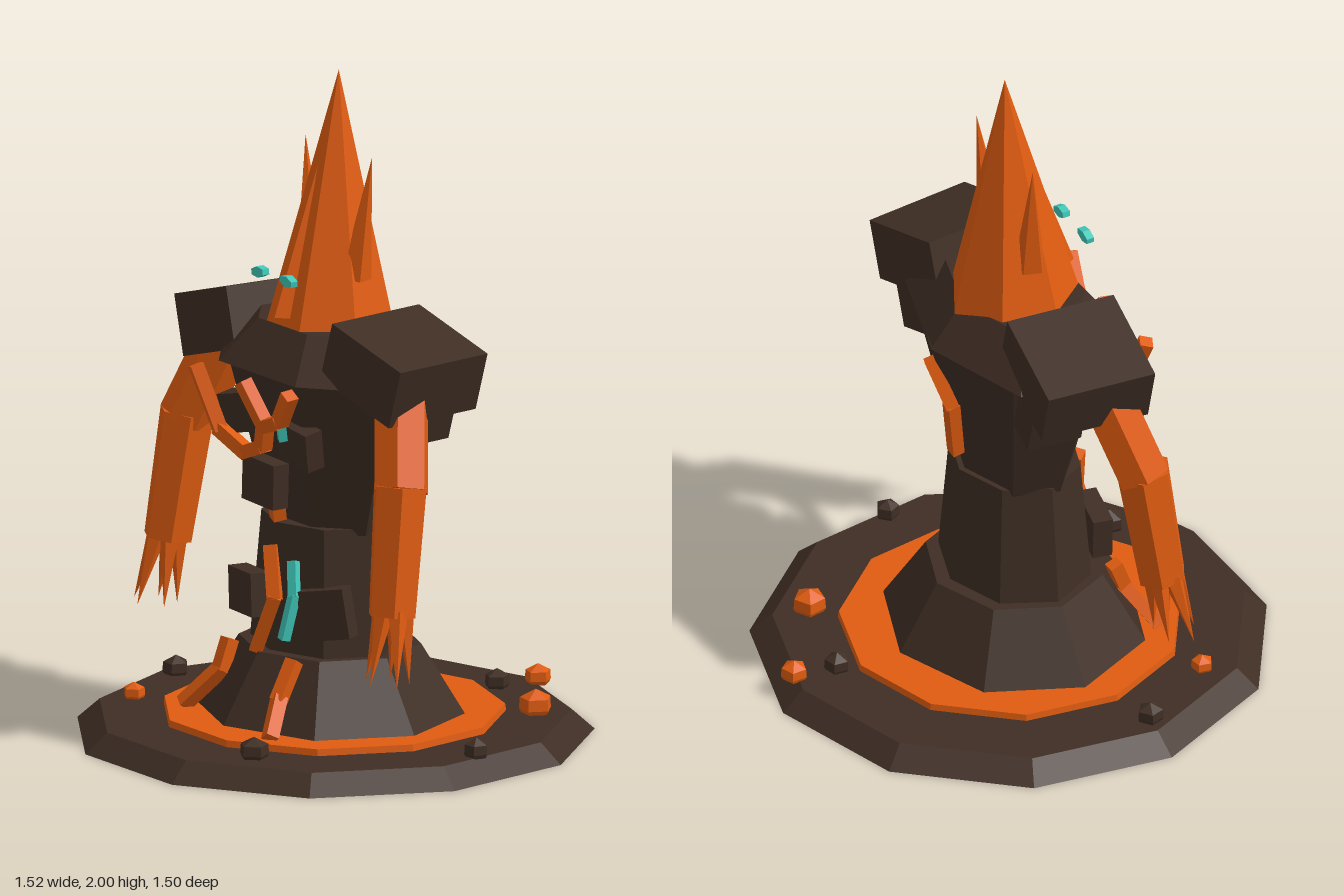
import * as THREE from 'three';

const mat = (name, color) => Object.assign(new THREE.MeshStandardMaterial({ color, flatShading: true }), { name });

export function createModel() {
  const rock = mat('dark rock', 0x3f2e24);
  const lava = mat('orange lava', 0xe05c10);
  const teal = mat('teal crystal', 0x40c9ba);
  const model = new THREE.Group();
  model.name = 'lavaGolem';
  const V = (p) => new THREE.Vector3(...p);

  const add = (name, geo, material, parent = model) => {
    const mesh = new THREE.Mesh(geo, material);
    mesh.name = name;
    parent.add(mesh);
    return mesh;
  };

  // Upright faceted frustum with a vertex at the back, squashed in z
  const frustum = (name, m, sides, y0, r0, y1, r1, sz = 1, z = 0) => {
    const geo = new THREE.CylinderGeometry(r1, r0, y1 - y0, sides);
    geo.rotateY(Math.PI).scale(1, 1, sz).translate(0, (y0 + y1) / 2, z);
    return add(name, geo, m);
  };

  // Tapered limb between two points
  const limb = (name, m, a, b, ra, rb, sides, parent = model) => {
    const A = V(a), d = V(b).sub(A);
    const mesh = add(name, new THREE.CylinderGeometry(rb, ra, d.length(), sides), m, parent);
    mesh.position.copy(A).addScaledVector(d, 0.5);
    mesh.quaternion.setFromUnitVectors(new THREE.Vector3(0, 1, 0), d.normalize());
    return mesh;
  };

  // Bent square bar following a short path
  const crack = (name, m, pts, w = 0.04) => {
    const g = new THREE.Group();
    g.name = name;
    model.add(g);
    for (let i = 0; i + 1 < pts.length; i++) {
      const A = V(pts[i]), d = V(pts[i + 1]).sub(A);
      const seg = add('crackSegment', new THREE.BoxGeometry(w, d.length() + w * 0.3, w), m, g);
      seg.position.copy(A).addScaledVector(d, 0.5);
      seg.quaternion.setFromUnitVectors(new THREE.Vector3(0, 1, 0), d.normalize());
    }
  };

  const block = (name, size, pos, rot, parent = model) => {
    const b = add(name, new THREE.BoxGeometry(...size), rock, parent);
    b.position.set(...pos);
    b.rotation.set(...rot);
    return b;
  };

  // Ground disc and lava pool
  frustum('baseDisc', rock, 11, 0, 0.767, 0.06, 0.7);
  frustum('lavaPool', lava, 11, 0.01, 0.515, 0.08, 0.505);

  // Body
  frustum('skirt', rock, 8, 0.06, 0.435, 0.285, 0.285, 0.91, 0.01);
  frustum('waist', rock, 8, 0.27, 0.26, 0.665, 0.222, 0.84, 0.012);
  frustum('chest', rock, 7, 0.645, 0.225, 1.13, 0.39, 0.7, 0.005);
  frustum('collar', rock, 7, 1.125, 0.44, 1.255, 0.28, 0.65, 0.016);

  // Stone plates on the front
  block('chestPlate', [0.16, 0.12, 0.06], [-0.12, 0.985, 0.23], [0.18, 0, 0.25]);
  block('chestPlate', [0.14, 0.12, 0.06], [0.13, 0.93, 0.21], [0.18, 0, -0.12]);
  block('bellyPlate', [0.155, 0.135, 0.055], [0, 0.797, 0.243], [0, 0, -0.04]);
  block('waistPlate', [0.16, 0.13, 0.06], [-0.14, 0.43, 0.2], [0, -0.2, 0.06]);
  block('waistPlate', [0.15, 0.15, 0.06], [0.18, 0.42, 0.15], [0, 0.5, 0.17]);

  // Head: faceted cone whose tip leans back over its base
  const headGeo = new THREE.ConeGeometry(0.2, 0.78, 7);
  headGeo.rotateY(Math.PI).scale(0.98, 1, 1).translate(0, 1.61, 0.008);
  const hp = headGeo.attributes.position;
  for (let i = 0; i < hp.count; i++) hp.setZ(i, hp.getZ(i) - 0.03 * (hp.getY(i) - 1.22) / 0.78);
  add('head', headGeo, lava);

  // Nose wedge: apex, two rear corners, tip
  const nose = new THREE.BufferGeometry();
  nose.setAttribute('position', new THREE.Float32BufferAttribute([
    0, 1.72, 0.055, -0.032, 1.28, 0.16, 0.032, 1.28, 0.16, 0, 1.285, 0.21], 3));
  nose.setIndex([0, 1, 3, 0, 3, 2, 1, 2, 3, 0, 2, 1]);
  const noseFlat = nose.toNonIndexed();
  noseFlat.computeVertexNormals();
  add('nose', noseFlat, lava);

  for (const s of [-1, 1]) {
    // Eyes
    const eyeGeo = new THREE.CylinderGeometry(0.017, 0.017, 0.03, 6);
    eyeGeo.rotateX(Math.PI / 2).scale(1.9, 1, 0.8);
    const eye = add('eye', eyeGeo, teal);
    eye.position.set(s * 0.071, 1.41, 0.21);
    eye.rotation.z = -s * 0.15;

    // Horns
    limb('horn', lava, [s * 0.112, 1.4, 0.0], [s * 0.166, 1.77, -0.022], 0.048, 0, 5);

    // Shoulder boulders
    block('shoulderRock', [0.315, 0.185, 0.34], [s * 0.372, 1.187, 0.012], [0, s * 0.1, -s * 0.29]);
    block('lowerShoulderRock', [0.2, 0.14, 0.17], [s * 0.3, 1.04, -0.06], [0, s * 0.1, -s * 0.29]);

    // Arms
    const arm = new THREE.Group();
    arm.name = s > 0 ? 'leftArm' : 'rightArm';
    model.add(arm);
    const wrist = [s * 0.56, 0.5, 0.19];
    limb('upperArm', lava, [s * 0.42, 1.16, 0.055], [s * 0.535, 0.86, 0.14], 0.085, 0.085, 6, arm);
    limb('forearm', lava, [s * 0.532, 0.88, 0.14], wrist, 0.085, 0.075, 6, arm);

    // Claws
    for (let i = 0; i < 5; i++) {
      const a = (i / 5) * Math.PI * 2 + 0.3;
      const x = Math.cos(a), z = Math.sin(a);
      limb('claw', lava, [s * (0.565 + x * 0.035), 0.52, 0.19 + z * 0.035],
        [s * (0.58 + x * 0.08), 0.305, 0.225 + z * 0.06], 0.032, 0, 5, arm);
    }
  }

  // Lava and crystal cracks
  crack('chestCrack', lava, [[-0.25, 1.1, 0.31], [-0.19, 0.92, 0.27], [-0.08, 0.87, 0.255],
    [0.02, 0.91, 0.265], [0.05, 0.98, 0.28], [-0.015, 1.1, 0.31]]);
  crack('chestCrackBranch', lava, [[0.05, 0.98, 0.28], [0.18, 1.025, 0.32], [0.24, 1.115, 0.33]]);
  crack('bellyCrack', lava, [[0.005, 0.76, 0.21], [-0.01, 0.68, 0.19]]);
  crack('waistCrack', lava, [[-0.01, 0.59, 0.215], [0.035, 0.45, 0.235], [-0.02, 0.29, 0.26]]);
  crack('skirtCrack', lava, [[-0.17, 0.28, 0.25], [-0.17, 0.2, 0.28], [-0.255, 0.09, 0.35]]);
  crack('skirtCrack', lava, [[0.15, 0.28, 0.25], [0.16, 0.18, 0.31], [0.215, 0.09, 0.38]]);
  crack('backCrack', lava, [[0.02, 1.07, -0.258], [-0.035, 0.93, -0.22], [0, 0.74, -0.185]]);
  crack('chestCrystal', teal, [[0.16, 1.07, 0.27], [0.12, 1.01, 0.275], [0.11, 0.95, 0.26]], 0.025);
  crack('waistCrystal', teal, [[0.08, 0.56, 0.2], [0.112, 0.47, 0.22], [0.09, 0.34, 0.24]], 0.028);

  // Scattered pebbles: x, z, radius, height, material
  for (const [x, z, r, h, m] of [
    [0.07, -0.69, 0.04, 0.06, lava], [0.35, -0.48, 0.05, 0.075, lava], [-0.48, 0.37, 0.033, 0.05, lava],
    [0.045, -0.56, 0.038, 0.06, rock], [0.655, -0.045, 0.036, 0.06, rock],
    [0.285, 0.49, 0.045, 0.065, rock], [-0.63, 0.11, 0.04, 0.06, rock]]) {
    const profile = [[0.85 * r, 0], [r, 0.2 * h], [0.95 * r, 0.65 * h], [0, h]].map((p) => new THREE.Vector2(...p));
    const pebble = add('pebble', new THREE.LatheGeometry(profile, 5), m);
    pebble.position.set(x, 0.057, z);
    pebble.rotation.y = x * 5;
  }
  return model;
}
